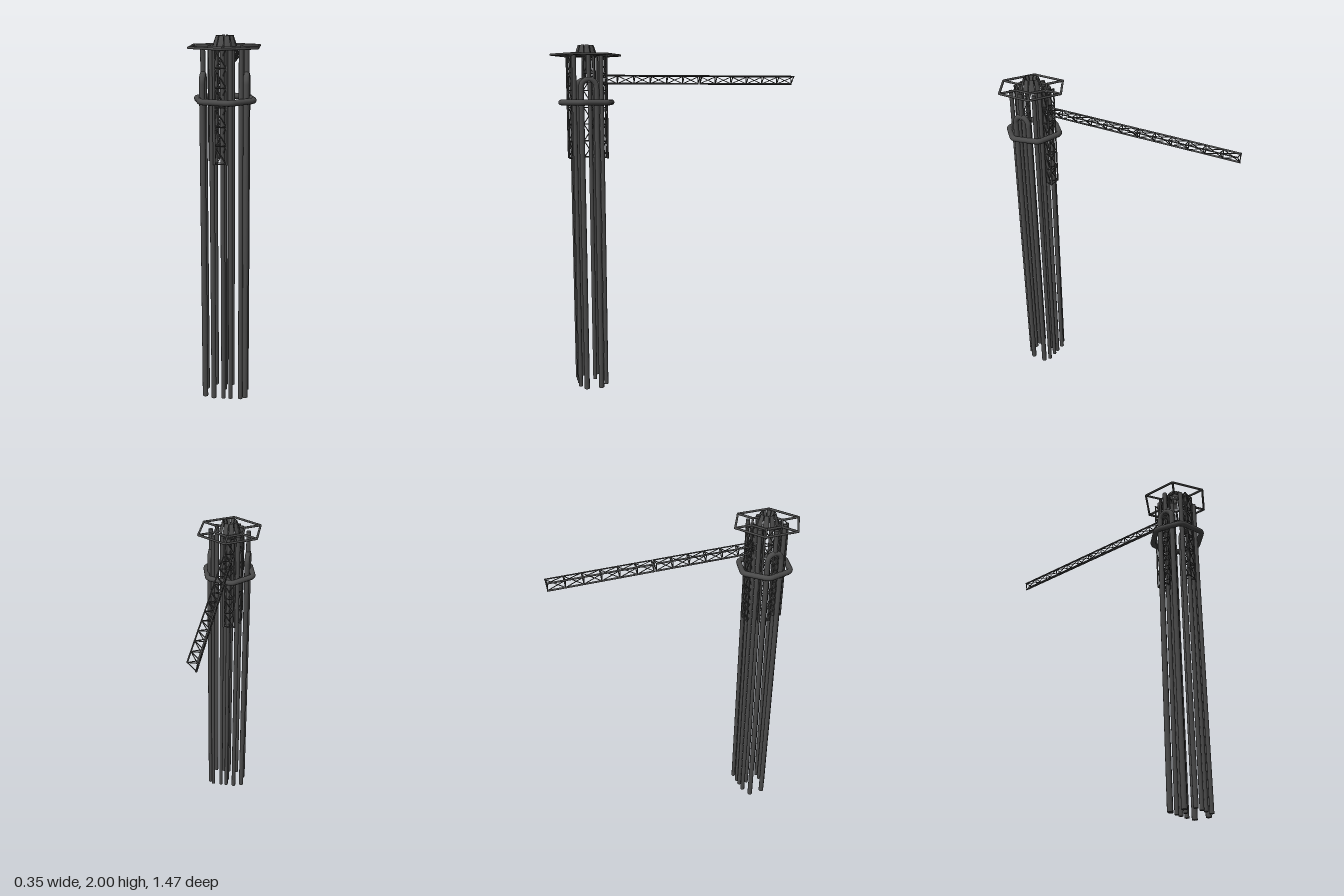
import * as THREE from 'three';

const steel = new THREE.MeshStandardMaterial({ color: 0x4a4a4a });
steel.name = 'dark steel';
const panelSteel = new THREE.MeshStandardMaterial({ color: 0x4a4a4a, side: THREE.DoubleSide });
panelSteel.name = 'dark steel panel';

const V = (x, y, z) => new THREE.Vector3(x, y, z);
const CZ = 0.53; // tower axis

function add(parent, geometry, name, material = steel) {
  const mesh = new THREE.Mesh(geometry, material);
  mesh.name = name;
  parent.add(mesh);
  return mesh;
}

// Straight round bar between two points
function rod(parent, a, b, r, name, sides = 8) {
  const dir = b.clone().sub(a);
  const mesh = add(parent, new THREE.CylinderGeometry(r, r, dir.length(), sides), name);
  mesh.position.copy(a).add(b).multiplyScalar(0.5);
  mesh.quaternion.setFromUnitVectors(V(0, 1, 0), dir.normalize());
  return mesh;
}

// Three-chord lattice running up local y, open face towards +z
function truss(name, length = 0.585, bays = 6) {
  const g = new THREE.Group();
  g.name = name;
  const chords = [[-0.027, 0], [0.022, 0], [-0.02, -0.045]];
  const at = (i, y) => V(chords[i][0], y, chords[i][1]);
  chords.forEach((c, i) => rod(g, at(i, 0), at(i, length), i === 1 ? 0.004 : 0.0055, 'chord', 6));
  const pitch = length / bays;
  for (const [i, j] of [[0, 1], [1, 2], [2, 0]]) {
    for (let k = 0; k <= bays; k++) {
      const y = Math.min(Math.max(k * pitch, 0.003), length - 0.003);
      rod(g, at(i, y), at(j, y), 0.003, 'rung', 5);
      if (k < bays) rod(g, at(i, (k + 1) * pitch), at(j, k * pitch), 0.0025, 'diagonal', 5);
    }
  }
  return g;
}

function hexPoints(r, y, turn) {
  return Array.from({ length: 6 }, (_, i) => {
    const a = turn + i * Math.PI / 3;
    return V(r * Math.cos(a), y, CZ + r * Math.sin(a));
  });
}

export function createModel() {
  const model = new THREE.Group();
  model.name = 'mastTower';

  // Long straight pipes
  const pipes = new THREE.Group();
  pipes.name = 'straightPipes';
  model.add(pipes);
  for (const z of [0.455, 0.608]) {
    for (const x of [-0.06, -0.006, 0.033, 0.088]) {
      rod(pipes, V(x, 0.01, z), V(x, 1.94, z), x < -0.05 ? 0.0135 : 0.012, 'pipe', 12);
    }
  }
  rod(pipes, V(-0.006, 0.01, 0.51), V(-0.006, 1.94, 0.51), 0.012, 'innerPipe', 12);

  // Inverted U pipes on both sides, with a short post above each
  for (const s of [-1, 1]) {
    const x = s * 0.112, top = 1.765, r = 0.043;
    const path = new THREE.CurvePath();
    path.add(new THREE.LineCurve3(V(x, 0, CZ + r), V(x, top, CZ + r)));
    let last = V(x, top, CZ + r);
    for (let i = 1; i <= 10; i++) {
      const a = i * Math.PI / 10;
      const next = V(x, top + r * Math.sin(a), CZ + r * Math.cos(a));
      path.add(new THREE.LineCurve3(last, next));
      last = next;
    }
    path.add(new THREE.LineCurve3(last, V(x, 0, CZ - r)));
    add(model, new THREE.TubeGeometry(path, 360, 0.0155, 12), 'uPipe');
    for (const z of [CZ + r, CZ - r]) {
      const cap = add(model, new THREE.CircleGeometry(0.0155, 12), 'pipeEnd');
      cap.rotation.x = Math.PI / 2;
      cap.position.set(x, 0, z);
    }
    rod(model, V(x, 1.79, CZ), V(x, 1.945, CZ), 0.013, 'upperPost', 12);
  }

  // Rounded six-sided collar
  const corners = hexPoints(0.158, 1.68, THREE.MathUtils.degToRad(16));
  const collar = new THREE.CurvePath();
  corners.forEach((c, i) => {
    const prev = corners[(i + 5) % 6], next = corners[(i + 1) % 6], after = corners[(i + 2) % 6];
    collar.add(new THREE.QuadraticBezierCurve3(c.clone().lerp(prev, 0.16), c, c.clone().lerp(next, 0.16)));
    collar.add(new THREE.LineCurve3(c.clone().lerp(next, 0.16), next.clone().lerp(c, 0.16)));
  });
  add(model, new THREE.TubeGeometry(collar, 120, 0.016, 12, true), 'collar');

  // Top frame: outer and inner hexagons joined by spokes
  const frame = new THREE.Group();
  frame.name = 'topFrame';
  model.add(frame);
  const outer = hexPoints(0.197, 1.945, Math.PI / 6);
  const inner = hexPoints(0.095, 1.945, Math.PI / 6);
  for (let i = 0; i < 6; i++) {
    const j = (i + 1) % 6;
    rod(frame, outer[i], outer[j], 0.0065, 'outerBar');
    rod(frame, inner[i], inner[j], 0.0065, 'innerBar');
    rod(frame, inner[i], outer[i], 0.0065, 'spoke');
    for (const p of [outer[i], inner[i]]) {
      add(frame, new THREE.SphereGeometry(0.0065, 8, 6), 'joint').position.copy(p);
    }
  }

  // Conical crown of separate petals
  const crown = new THREE.Group();
  crown.name = 'crown';
  crown.position.z = CZ;
  model.add(crown);
  const profile = [[0.064, 1.94], [0.058, 1.96], [0.045, 2.0], [0.04, 2.0], [0.022, 1.95]]
    .map(([r, y]) => new THREE.Vector2(r, y));
  const petals = 10;
  for (let i = 0; i < petals; i++) {
    const step = Math.PI * 2 / petals;
    add(crown, new THREE.LatheGeometry(profile, 3, i * step + 0.04, step - 0.08), 'petal', panelSteel);
  }

  // Upright lattices on the front, left-hand and back faces
  for (const [name, x, z, turn] of [
    ['frontLattice', -0.01, 0.635, 0],
    ['sideLattice', -0.083, 0.51, -Math.PI / 2],
    ['backLattice', -0.02, 0.415, Math.PI],
  ]) {
    const t = truss(name);
    t.position.set(x, 1.358, z);
    t.rotation.y = turn;
    t.scale.x = 1.35;
    model.add(t);
  }

  // Long boom in two sections reaching to the back
  for (const z of [0.445, -0.147]) {
    const t = truss('boomSection');
    t.position.set(-0.004, 1.832, z);
    t.rotation.x = -Math.PI / 2;
    model.add(t);
  }
  return model;
}
